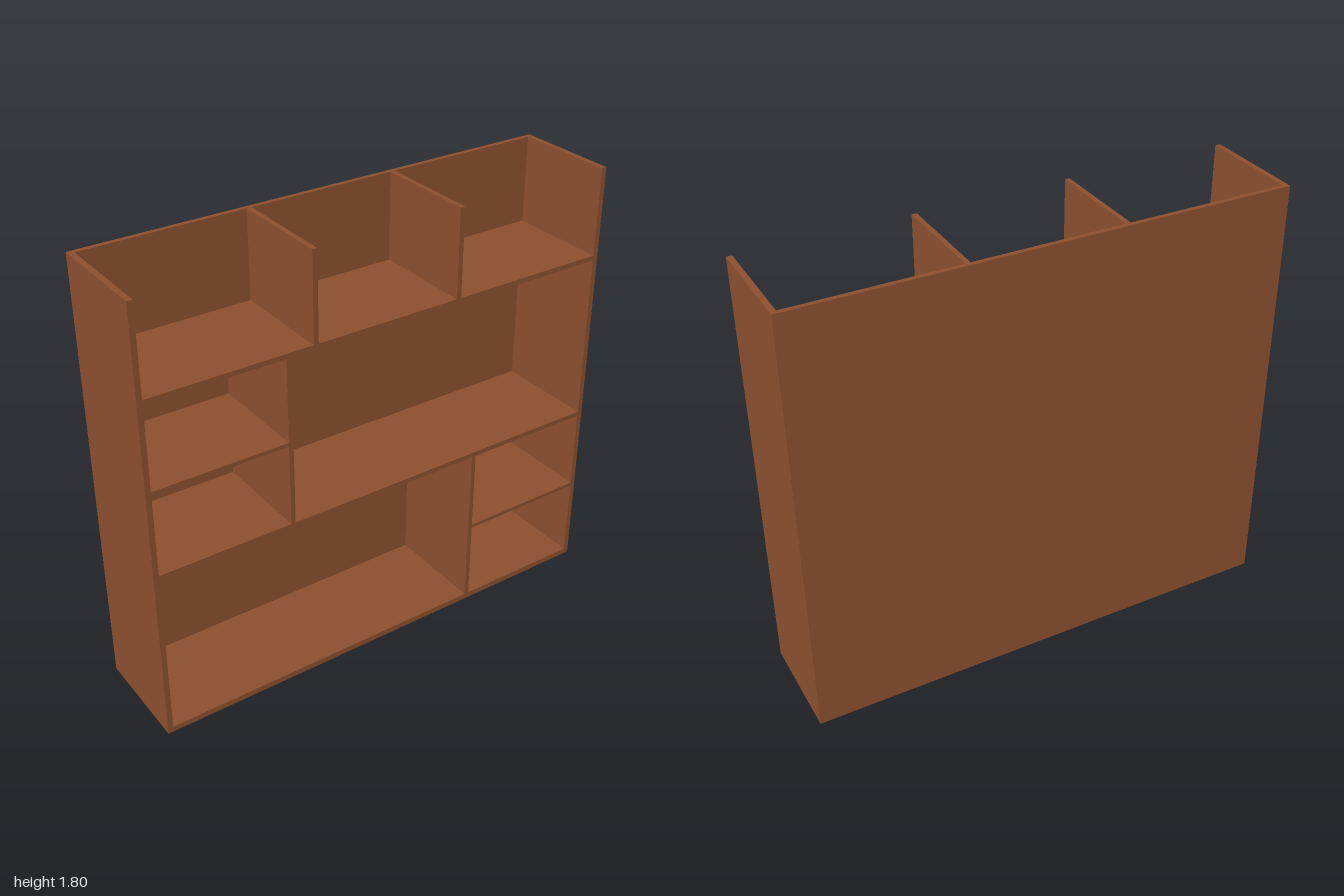
import * as THREE from 'three';

export function createModel() {
  const group = new THREE.Group();
  const wood = new THREE.MeshStandardMaterial({ color: 0x8b4f2e });
  wood.name = 'brown wood';

  // Board given by its min and max extents on each axis
  function board(name, x0, x1, y0, y1, z0 = -0.203, z1 = 0.22) {
    const mesh = new THREE.Mesh(new THREE.BoxGeometry(x1 - x0, y1 - y0, z1 - z0), wood);
    mesh.name = name;
    mesh.position.set((x0 + x1) / 2, (y0 + y1) / 2, (z0 + z1) / 2);
    group.add(mesh);
  }

  const T = 0.02;      // board thickness
  const inner = 0.978; // inner face of the side panels
  const top = 1.803;

  // Outer case
  board('backPanel', -1, 1, 0, top, -0.222, -0.203);
  board('basePanel', -1, 1, 0, 0.024);
  board('rightSidePanel', -1, -inner, 0.024, top);
  board('leftSidePanel', inner, 1, 0.024, top);

  // Full-width shelves
  board('lowerShelf', -inner, inner, 0.715, 0.735);
  board('upperShelf', -inner, inner, 1.425, 1.445);

  // Open top compartments
  for (const x of [-0.312, 0.312]) board('topDivider', x - T / 2, x + T / 2, 1.445, top);

  // Middle tier: small cubbies on the right
  board('middleDivider', -0.434, -0.415, 0.735, 1.425);
  board('middleSmallShelf', -inner, -0.434, 1.072, 1.088);

  // Bottom tier: small cubbies on the left
  board('bottomDivider', 0.415, 0.434, 0.024, 0.715);
  board('bottomSmallShelf', 0.434, inner, 0.362, 0.378);

  return group;
}
